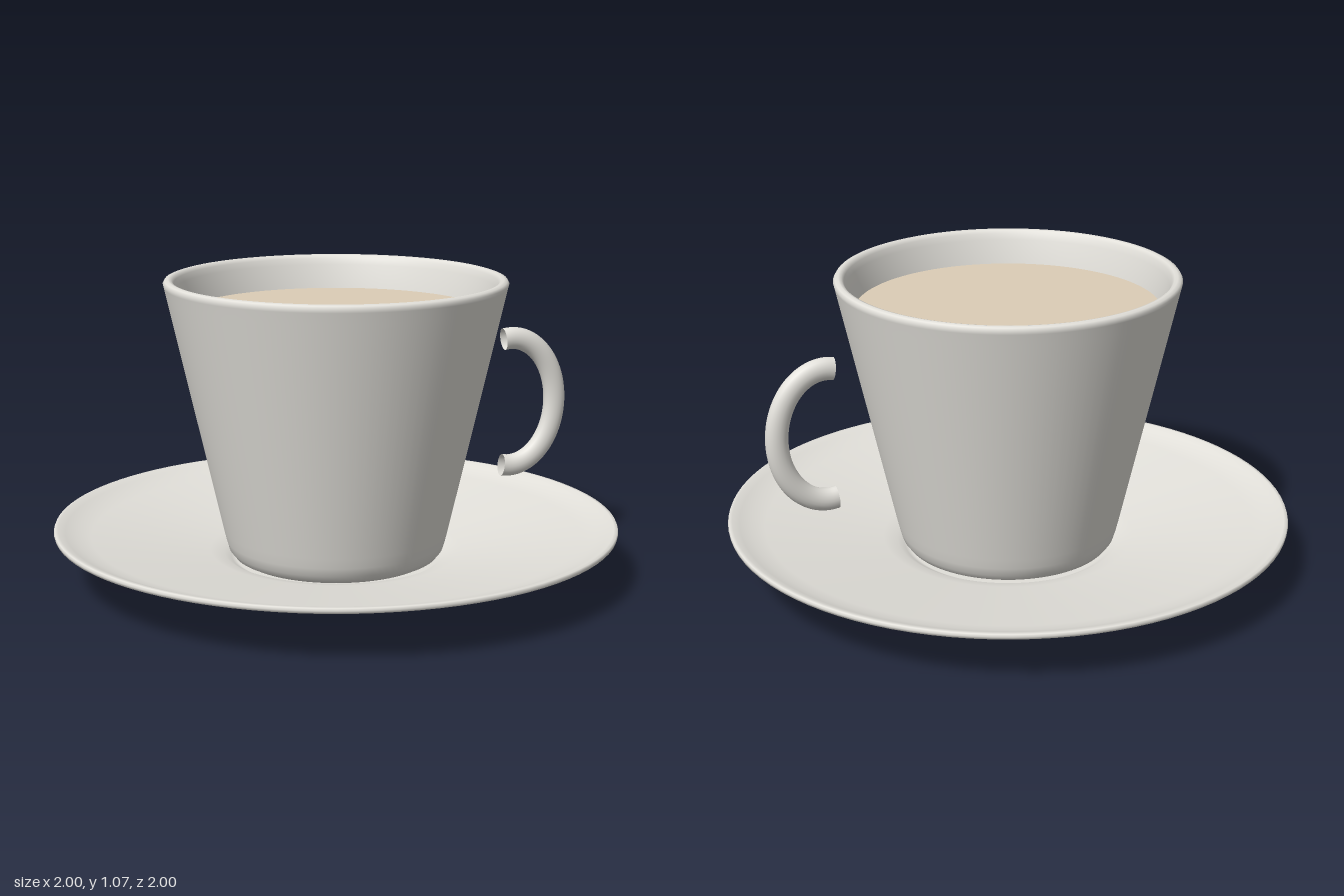
import * as THREE from 'three';

const SEGMENTS = 96;

// Revolve a profile of [radius, height] pairs running from the bottom outward and up
function revolve(name, profile, material) {
  const points = profile.map(([r, y]) => new THREE.Vector2(r, y));
  const mesh = new THREE.Mesh(new THREE.LatheGeometry(points, SEGMENTS), material);
  mesh.name = name;
  return mesh;
}

export function createModel() {
  const porcelain = new THREE.MeshStandardMaterial({ color: 0xe2e0da });
  porcelain.name = 'porcelain';
  porcelain.side = THREE.DoubleSide;
  const coffee = new THREE.MeshStandardMaterial({ color: 0xdccdb6 });
  coffee.name = 'milky coffee';

  const model = new THREE.Group();
  model.name = 'cupAndSaucer';

  // Saucer: recessed base inside a foot ring, shallow conical underside, thin rim and sunken well
  model.add(revolve('saucerBase', [[0, 0.028], [0.3, 0.028]], porcelain));
  model.add(revolve('saucer', [
    [0.3, 0.028], [0.318, 0.018], [0.332, 0.006], [0.348, 0], [0.368, 0], [0.379, 0.006],
    [0.39, 0.02], [0.412, 0.053], [0.422, 0.062], [0.45, 0.068],
    [0.84, 0.134], [0.88, 0.142], [0.97, 0.168], [0.998, 0.178], [1, 0.187], [0.997, 0.195],
    [0.985, 0.196], [0.96, 0.185], [0.92, 0.17], [0.87, 0.159], [0.45, 0.09], [0.40, 0.08],
    [0.375, 0.065], [0.355, 0.056], [0, 0.056],
  ], porcelain));

  // Cup: rounded bottom, tapered wall, soft lip and inner wall
  model.add(revolve('cup', [
    [0, 0.058], [0.31, 0.058], [0.338, 0.062], [0.364, 0.075], [0.382, 0.098], [0.391, 0.128],
    [0.4, 0.165], [0.588, 1.0], [0.597, 1.04], [0.6, 1.052], [0.594, 1.062], [0.582, 1.066],
    [0.571, 1.063], [0.563, 1.052], [0.556, 1.03], [0.53, 0.94], [0.36, 0.17], [0.32, 0.12], [0, 0.12],
  ], porcelain));

  // Drink surface
  const drink = new THREE.Mesh(new THREE.CircleGeometry(0.532, SEGMENTS), coffee);
  drink.name = 'drink';
  drink.rotation.x = -Math.PI / 2;
  drink.position.y = 0.945;
  model.add(drink);

  // Handle: open-ended elliptical arc standing just off the wall
  const path = [];
  for (let i = 0; i <= 24; i++) {
    const a = THREE.MathUtils.degToRad(-99 + (198 * i) / 24);
    path.push(new THREE.Vector3(0.669 + 0.178 * Math.cos(a), 0.574 + 0.237 * Math.sin(a), 0));
  }
  const tube = new THREE.TubeGeometry(new THREE.CatmullRomCurve3(path), 64, 0.04, 20);
  tube.scale(1, 1, 0.8);
  const handle = new THREE.Mesh(tube, porcelain);
  handle.name = 'handle';
  model.add(handle);

  return model;
}
